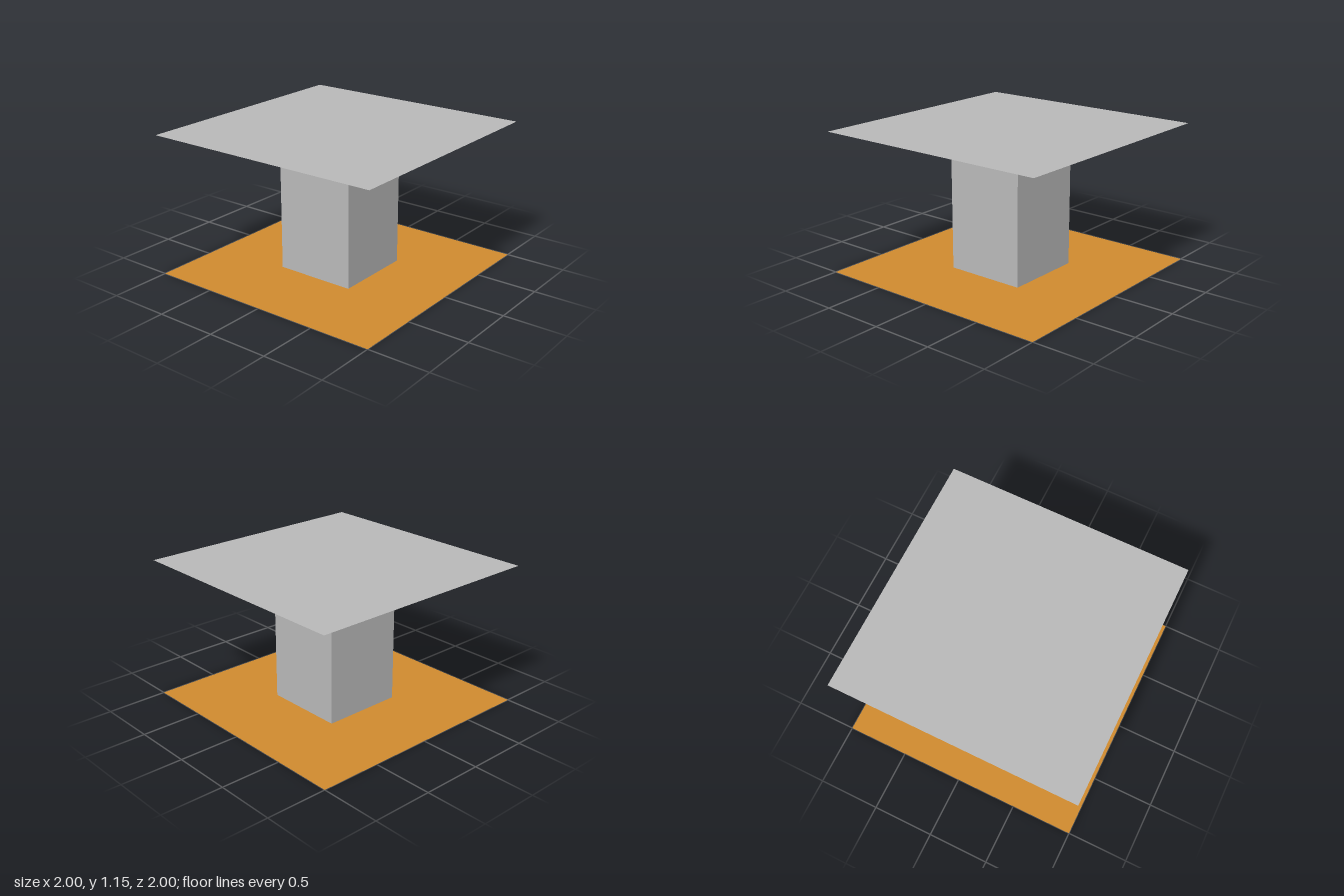
import * as THREE from 'three';

const SIZE = 2, WIDTH = 0.667, HEIGHT = 1.155;

export function createModel() {
  const group = new THREE.Group();
  const gray = new THREE.MeshStandardMaterial({ color: 0xb8b8b8, side: THREE.DoubleSide });
  gray.name = 'stone gray';
  const ochre = new THREE.MeshStandardMaterial({ color: 0xcf8a2e, side: THREE.DoubleSide });
  ochre.name = 'ochre';

  const add = (name, geometry, material, y) => {
    const mesh = new THREE.Mesh(geometry, material);
    mesh.name = name;
    mesh.position.y = y;
    group.add(mesh);
  };

  // Flat square sheet on the ground
  add('groundSheet', new THREE.PlaneGeometry(SIZE, SIZE).rotateX(-Math.PI / 2), ochre, 0);

  // Square column, raised a hair so its base does not clash with the ground sheet
  const lift = 0.001;
  add('column', new THREE.BoxGeometry(WIDTH, HEIGHT - lift, WIDTH), gray, (HEIGHT + lift) / 2);

  // Flat square sheet around the column top, with an opening the column fills
  const h = SIZE / 2, w = WIDTH / 2;
  const square = (Type, r) => new Type([[-r, -r], [r, -r], [r, r], [-r, r]].map(([x, y]) => new THREE.Vector2(x, y)));
  const outline = square(THREE.Shape, h);
  outline.holes.push(square(THREE.Path, w));
  add('topSheet', new THREE.ShapeGeometry(outline).rotateX(-Math.PI / 2), gray, HEIGHT);

  return group;
}
